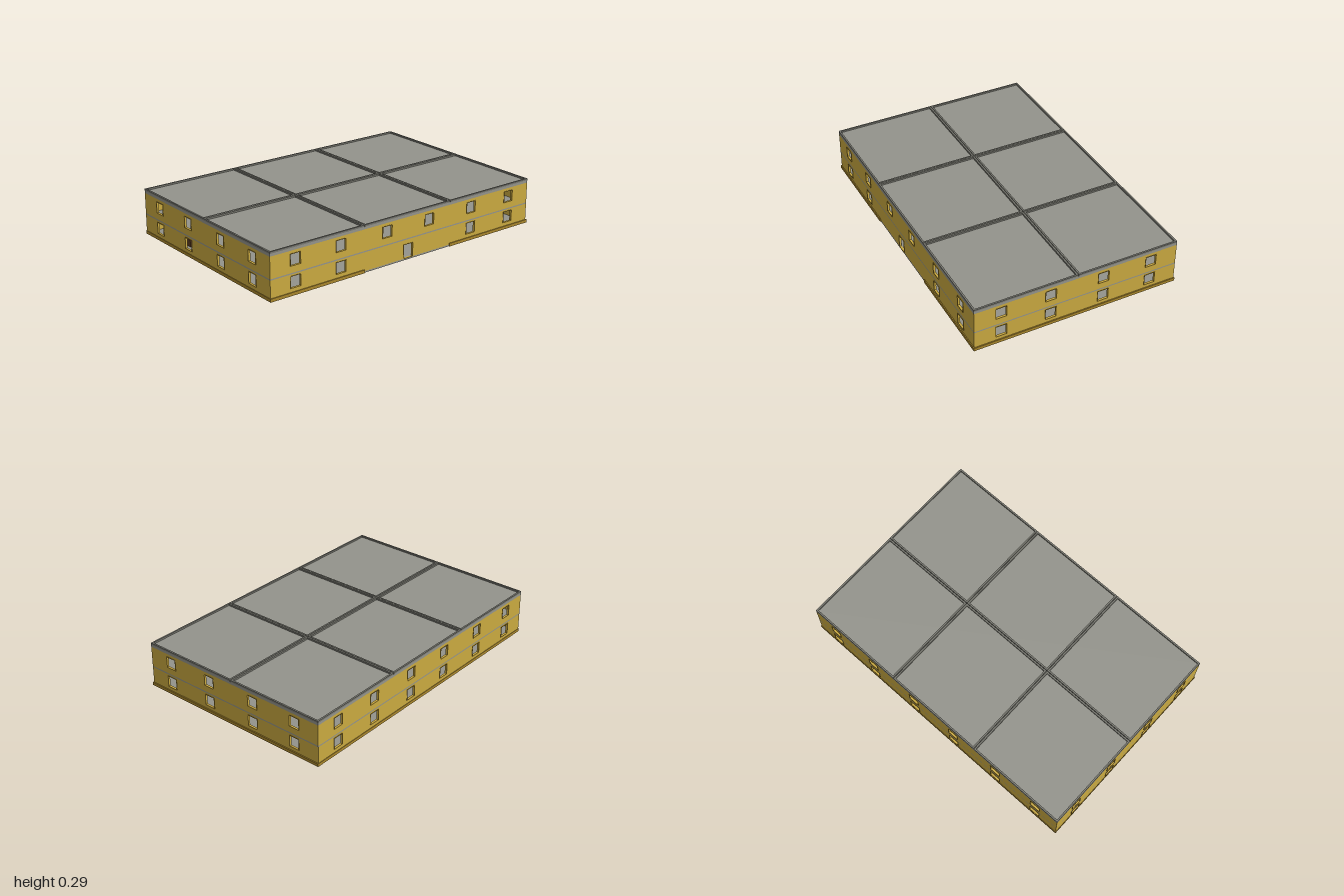
import * as THREE from 'three';

const yellow = new THREE.MeshStandardMaterial({ color: 0xc9a940 });
const ochre = new THREE.MeshStandardMaterial({ color: 0xa8862c });
const grey = new THREE.MeshStandardMaterial({ color: 0x93938b });
const darkGrey = new THREE.MeshStandardMaterial({ color: 0x77776f });
const brown = new THREE.MeshStandardMaterial({ color: 0x5a3a22 });

// Outer wall faces, wall thickness and storey levels
const X0 = -0.997, X1 = 0.993, Z0 = -0.664, Z1 = 0.661, T = 0.012;
const CX = (X0 + X1) / 2, CZ = (Z0 + Z1) / 2, W = X1 - X0, D = Z1 - Z0;
const FLOOR = 0.01, MID0 = 0.127, MID1 = 0.135, ROOF = 0.268, TOP = 0.295;
const WIN = 0.068;

// Box given by its minimum and maximum corners
function box(name, mat, x0, y0, z0, x1, y1, z1) {
  const mesh = new THREE.Mesh(new THREE.BoxGeometry(x1 - x0, y1 - y0, z1 - z0), mat);
  mesh.name = name;
  mesh.position.set((x0 + x1) / 2, (y0 + y1) / 2, (z0 + z1) / 2);
  return mesh;
}

// Rectangle as a closed list of points
function rect(PathType, x0, y0, x1, y1) {
  return new PathType([[x0, y0], [x1, y0], [x1, y1], [x0, y1]].map(p => new THREE.Vector2(...p)));
}

// Storey wall with openings [x0, y0, x1, y1]; outer face at local z = 0, facing +z
function wall(name, width, y0, y1, openings) {
  const group = new THREE.Group();
  group.name = name;
  const shape = rect(THREE.Shape, -width / 2, y0, width / 2, y1);
  openings.forEach(o => shape.holes.push(rect(THREE.Path, ...o)));
  const geo = new THREE.ExtrudeGeometry(shape, { depth: T, bevelEnabled: false });
  geo.translate(0, 0, -T);
  const panel = new THREE.Mesh(geo, yellow);
  panel.name = name + 'Panel';
  group.add(panel);
  // Thin lining standing slightly proud of each opening
  for (const [a, b, c, d] of openings) {
    const e = 0.002;
    const ring = rect(THREE.Shape, a - e, b - e, c + e, d + e);
    ring.holes.push(rect(THREE.Path, a, b, c, d));
    const frame = new THREE.Mesh(new THREE.ExtrudeGeometry(ring, { depth: 0.003, bevelEnabled: false }), ochre);
    frame.name = 'openingFrame';
    group.add(frame);
  }
  return group;
}

const windowAt = (x, y) => [x - WIN / 2, y, x + WIN / 2, y + 0.07];

export function createModel() {
  const model = new THREE.Group();
  model.name = 'modularBuilding';

  // Floor slabs
  model.add(box('groundFloor', grey, X0, 0, Z0, X1, FLOOR, Z1));
  model.add(box('upperFloor', grey, X0, MID0, Z0, X1, MID1, Z1));

  // Walls, storey by storey
  const longX = [-0.825, -0.505, -0.163, 0.163, 0.505, 0.825];
  const sideZ = [-0.488, -0.17, 0.175, 0.492];
  const storeys = [['lower', FLOOR, MID0, 0.045], ['upper', MID1, ROOF, 0.178]];
  for (const [storey, y0, y1, sill] of storeys) {
    const all = longX.map(x => windowAt(x - CX, sill));
    const front = storey === 'upper' ? all
      : [...all.filter((_, i) => i !== 2 && i !== 3), [-0.034 - CX, 0.012, 0.034 - CX, 0.098]];
    const frontWall = wall(storey + 'FrontWall', W, y0, y1, front);
    frontWall.position.set(CX, 0, Z1);
    const backWall = wall(storey + 'BackWall', W, y0, y1, longX.map(x => windowAt(CX - x, sill)));
    backWall.rotation.y = Math.PI;
    backWall.position.set(CX, 0, Z0);
    const leftWall = wall(storey + 'LeftWall', D - 2 * T, y0, y1, sideZ.map(z => windowAt(CZ - z, sill)));
    leftWall.rotation.y = Math.PI / 2;
    leftWall.position.set(X1, 0, CZ);
    const rightWall = wall(storey + 'RightWall', D - 2 * T, y0, y1, sideZ.map(z => windowAt(z - CZ, sill)));
    rightWall.rotation.y = -Math.PI / 2;
    rightWall.position.set(X0, 0, CZ);
    model.add(frontWall, backWall, leftWall, rightWall);
  }

  // Plinth strips, left out along the middle front bay with the door
  const PH = 0.02;
  model.add(box('plinthLeft', ochre, X1, 0, -0.667, 1, PH, 0.667));
  model.add(box('plinthRight', ochre, -1, 0, -0.667, X0, PH, 0.667));
  model.add(box('plinthBack', ochre, X0, 0, -0.667, X1, PH, Z0));
  model.add(box('plinthFrontRight', ochre, X0, 0, Z1, -0.335, PH, 0.667));
  model.add(box('plinthFrontLeft', ochre, 0.331, 0, Z1, X1, PH, 0.667));

  // Roof deck with one raised rim per module
  model.add(box('roofDeck', grey, X0, ROOF, Z0, X1, 0.284, Z1));
  const mw = W / 3, md = D / 2, gap = 0.0015, rim = 0.011;
  for (let i = 0; i < 3; i++) {
    for (let j = 0; j < 2; j++) {
      const x0 = X0 + i * mw + (i > 0 ? gap : 0), x1 = X0 + (i + 1) * mw - (i < 2 ? gap : 0);
      const z0 = Z0 + j * md + (j > 0 ? gap : 0), z1 = Z0 + (j + 1) * md - (j < 1 ? gap : 0);
      const shape = rect(THREE.Shape, x0, -z1, x1, -z0);
      shape.holes.push(rect(THREE.Path, x0 + rim, -z1 + rim, x1 - rim, -z0 - rim));
      const geo = new THREE.ExtrudeGeometry(shape, { depth: TOP - 0.284, bevelEnabled: false });
      geo.rotateX(-Math.PI / 2);
      const parapet = new THREE.Mesh(geo, darkGrey);
      parapet.name = 'roofRim';
      parapet.position.y = 0.284;
      model.add(parapet);
    }
  }

  // Staircase behind the entrance, rising towards the back
  const stairs = new THREE.Group();
  stairs.name = 'staircase';
  const steps = 10, rise = (MID0 - FLOOR) / steps, run = 0.025;
  for (let i = 0; i < steps; i++) {
    const z = -0.1 - i * run;
    stairs.add(box('step', brown, -0.05, FLOOR + i * rise, z - run, 0.05, FLOOR + (i + 1) * rise, z));
  }
  model.add(stairs);

  // Shelf unit
  const shelves = new THREE.Group();
  shelves.name = 'shelfUnit';
  for (let i = 0; i < 8; i++) {
    const y = FLOOR + i * 0.0125;
    shelves.add(box('shelf', grey, 0.4, y, -0.34, 0.51, y + 0.01, -0.28));
  }
  shelves.add(box('shelfBack', darkGrey, 0.4, FLOOR, -0.345, 0.51, 0.11, -0.34));
  model.add(shelves);

  // Table and cupboard
  const table = new THREE.Group();
  table.name = 'table';
  table.add(box('tableTop', grey, 0.22, 0.06, -0.23, 0.42, 0.088, -0.11));
  for (const x of [0.225, 0.405]) {
    for (const z of [-0.228, -0.122]) table.add(box('tableLeg', grey, x, FLOOR, z, x + 0.01, 0.06, z + 0.01));
  }
  model.add(table);
  model.add(box('cupboard', brown, -0.92, FLOOR, -0.35, -0.852, 0.1, -0.28));

  return model;
}
